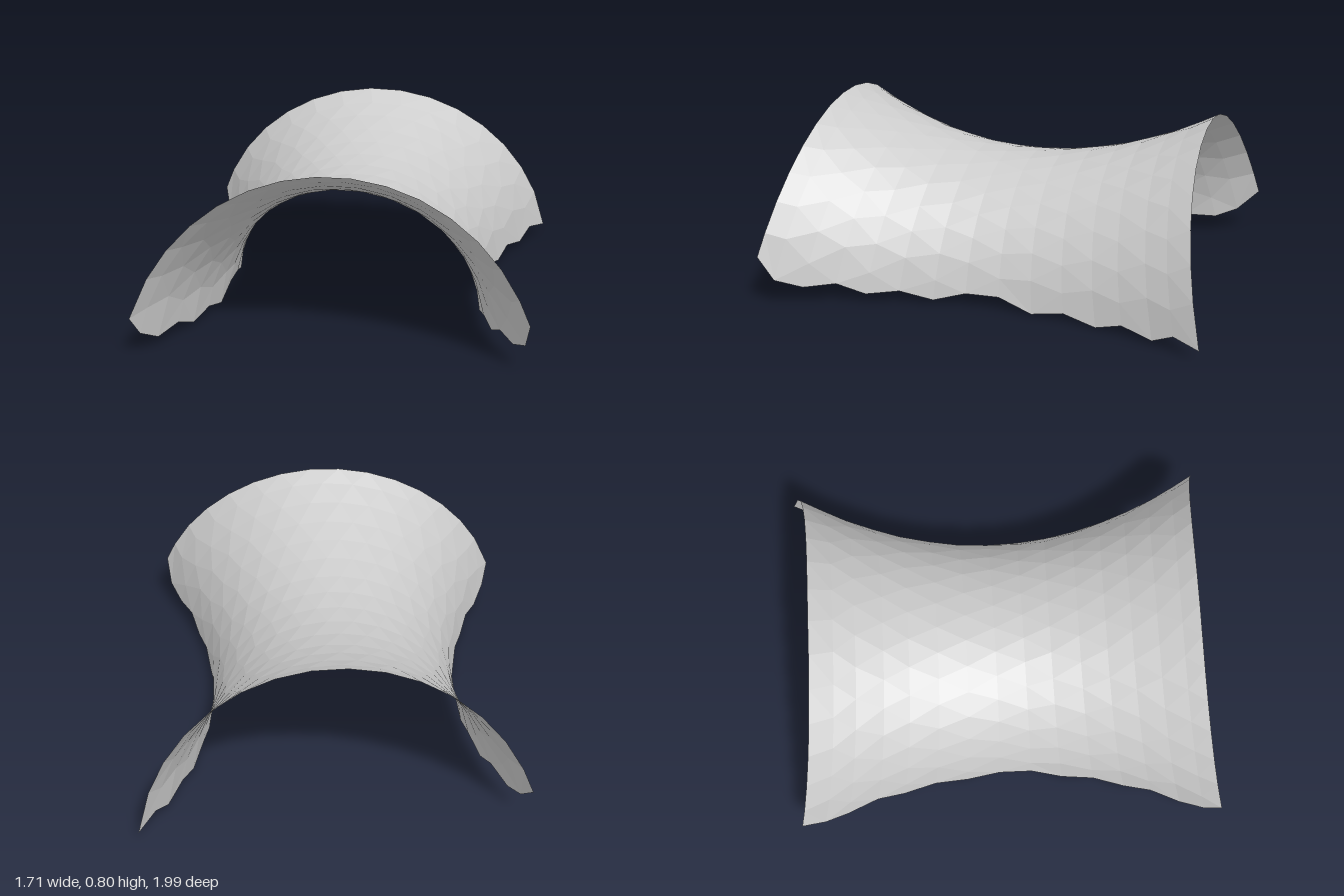
import * as THREE from 'three';

// Stations along the length, with the height of the ragged hem on each side
const STATIONS = [1, 0.91, 0.79, 0.66, 0.53, 0.39, 0.24, 0.1, -0.05, -0.2, -0.35, -0.5, -0.63, -0.77, -0.88, -1];
const HEM_LEFT = [0.23, 0.12, 0.08, 0.09, 0.04, 0.055, 0.02, 0.06, 0.06, 0.005, 0.035, 0.005, 0.045, 0.02, 0.07, 0.05];
const HEM_RIGHT = [0.18, 0.09, 0.035, 0.055, 0.01, 0.035, 0, 0.06, 0.06, 0.02, 0.055, 0.04, 0.09, 0.075, 0.11, 0.2];
const COLS = 15;

// One arched cross-section: the radius grows towards both open ends
function archPoint(row, col) {
  const v = STATIONS[row], v2 = v * v;
  const radius = 0.58 + (v > 0 ? 0.307 : 0.291) * v2;
  const centreY = -0.02 - 0.066 * v2;
  const start = Math.asin((HEM_LEFT[row] - centreY) / radius);
  const end = Math.PI - Math.asin((HEM_RIGHT[row] - centreY) / radius);

  // stagger every other row, keeping the hem points in place
  const inner = col > 0 && col < COLS;
  const t = (col + (inner ? (row % 2 ? 0.25 : -0.25) : 0)) / COLS;
  const angle = start + (end - start) * t;
  const c = Math.cos(angle), s = Math.sin(angle);

  // the end rims sweep outwards towards the four corners
  const reach = 0.87 + 0.167 * Math.pow(Math.max(0, 1 - s), 1.2);
  return [
    radius * c - 0.017 + 0.008 * v2,
    centreY + radius * s,
    v * reach + 0.015 * c * Math.max(0, v),
  ];
}

export function createModel() {
  const group = new THREE.Group();
  group.name = 'saddleArch';

  // Grid of staggered rows
  const positions = [], indices = [];
  for (let i = 0; i < STATIONS.length; i++) {
    for (let j = 0; j <= COLS; j++) positions.push(...archPoint(i, j));
  }

  // Each cell is split along its shorter diagonal
  const stride = COLS + 1;
  for (let i = 0; i < STATIONS.length - 1; i++) {
    for (let j = 0; j < COLS; j++) {
      const a = i * stride + j, b = a + 1, c = a + stride, d = c + 1;
      if (i % 2 === 0) indices.push(a, c, b, b, c, d);
      else indices.push(a, c, d, a, d, b);
    }
  }

  const geometry = new THREE.BufferGeometry();
  geometry.setAttribute('position', new THREE.Float32BufferAttribute(positions, 3));
  geometry.setIndex(indices);
  geometry.computeVertexNormals();

  // Thin open shell
  const shell = new THREE.Mesh(geometry, new THREE.MeshStandardMaterial({
    color: 0xcccccc, flatShading: true, side: THREE.DoubleSide,
  }));
  shell.name = 'saddleShell';
  group.add(shell);
  return group;
}
